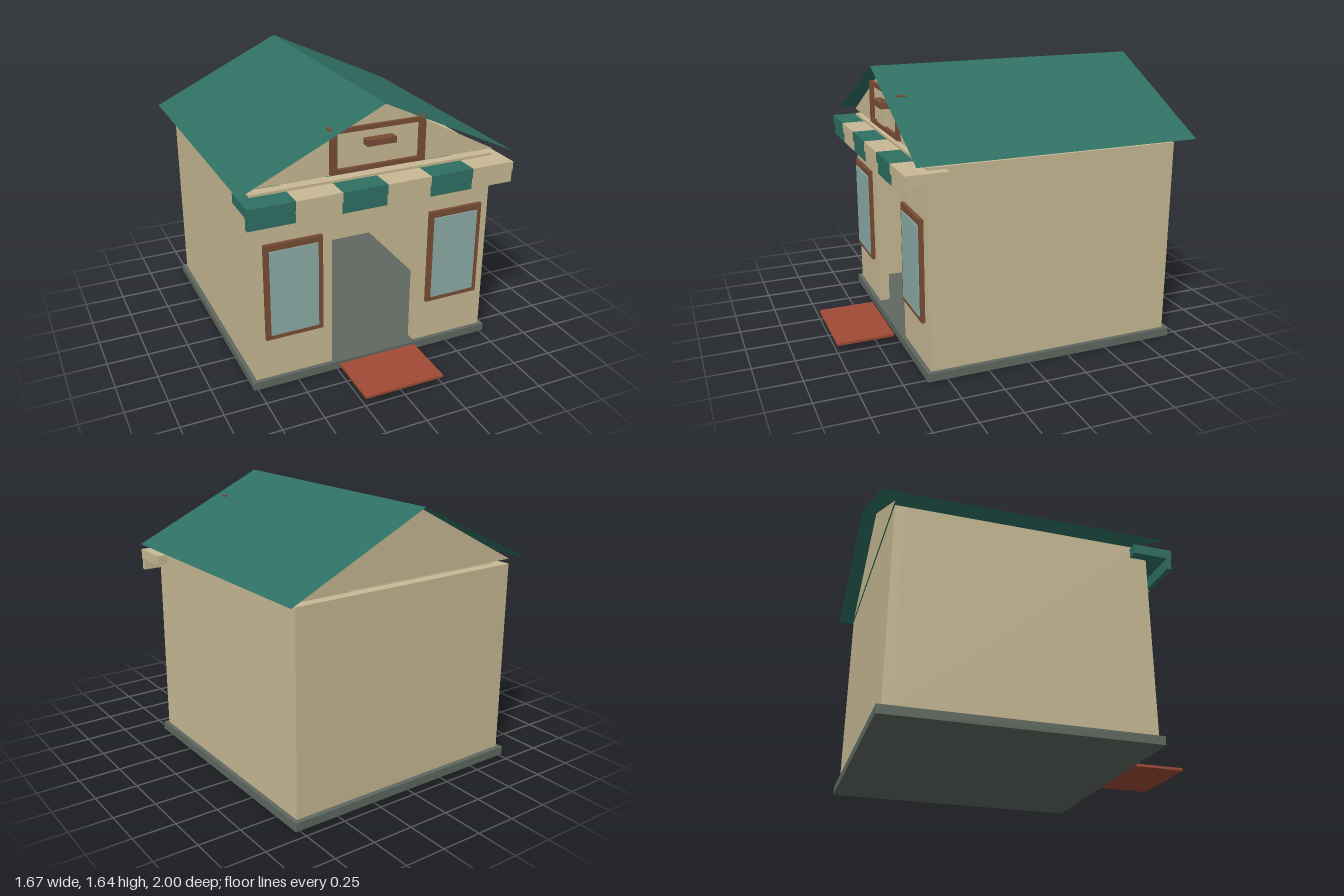
import * as THREE from 'three';

export function createModel() {
  const root = new THREE.Group();
  const mat = (name, color, side = THREE.FrontSide) => {
    const m = new THREE.MeshStandardMaterial({ color, side });
    m.name = name;
    return m;
  };
  const tan = mat('tan plaster', 0xc9ba95, THREE.DoubleSide);
  const green = mat('green', 0x2f7063, THREE.DoubleSide);
  const brown = mat('brown wood', 0x794e35);
  const glass = mat('pale glass', 0x8eaea8);
  const stone = mat('grey stone', 0x606860);
  const red = mat('red mat', 0xa04a34);

  const add = (name, geometry, material, parent = root) => {
    const mesh = new THREE.Mesh(geometry, material);
    mesh.name = name;
    parent.add(mesh);
    return mesh;
  };
  // Box given by its minimum and maximum on each axis
  const box = (name, [x0, x1], [y0, y1], [z0, z1], material, parent) => {
    const g = new THREE.BoxGeometry(x1 - x0, y1 - y0, z1 - z0);
    g.translate((x0 + x1) / 2, (y0 + y1) / 2, (z0 + z1) / 2);
    return add(name, g, material, parent);
  };
  const group = (name) => {
    const g = new THREE.Group();
    g.name = name;
    root.add(g);
    return g;
  };

  // Foundation and door mat
  box('foundation', [-0.775, 0.775], [0, 0.05], [-0.94, 0.615], stone);
  box('doorMat', [-0.25, 0.25], [0.046, 0.062], [0.653, 1], red);

  // Hollow walls with an open doorway
  const T = 0.06, H = [0.05, 1.22];
  const walls = group('walls');
  box('backWall', [-0.75, 0.75], H, [-0.91, -0.91 + T], tan, walls);
  box('lintel', [-0.275, 0.275], [1.09, 1.22], [0.59 - T, 0.59], tan, walls);
  for (const s of [-1, 1]) {
    const span = (a, b) => (s > 0 ? [a, b] : [-b, -a]);
    box('sideWall', span(0.75 - T, 0.75), H, [-0.91 + T, 0.59 - T], tan, walls);
    box('frontWall', span(0.275, 0.75), H, [0.59 - T, 0.59], tan, walls);
    // Front windows
    box('windowFrame', span(0.34, 0.69), [0.32, 0.92], [0.597, 0.618], brown);
    box('windowPane', span(0.37, 0.66), [0.35, 0.88], [0.617, 0.625], glass);
  }

  // Triangular gables
  const triangle = new THREE.Shape([
    new THREE.Vector2(-0.75, 1.25),
    new THREE.Vector2(0.75, 1.25),
    new THREE.Vector2(0, 1.645),
  ]);
  for (const z of [0.59, -0.91]) {
    const gable = add(z > 0 ? 'frontGable' : 'backGable', new THREE.ShapeGeometry(triangle), tan);
    gable.position.z = z;
    if (z < 0) gable.rotation.y = Math.PI;
  }

  // Thin sloping roof sheets
  const run = 0.835, rise = 0.395;
  for (const s of [-1, 1]) {
    const g = new THREE.PlaneGeometry(Math.hypot(run, rise), 1.675);
    g.rotateX(-Math.PI / 2);
    g.rotateZ(-s * Math.atan2(rise, run));
    g.translate(s * run / 2, 1.25 + rise / 2, -0.1625);
    add('roofSlope', g, green);
  }

  // Gable sign: open frame with a small raised emblem block
  const rect = (Type, x, y0, y1) => new Type([
    new THREE.Vector2(-x, y0), new THREE.Vector2(x, y0),
    new THREE.Vector2(x, y1), new THREE.Vector2(-x, y1),
  ]);
  const ring = rect(THREE.Shape, 0.29, 1.258, 1.516);
  ring.holes.push(rect(THREE.Path, 0.25, 1.285, 1.49));
  const frame = new THREE.ExtrudeGeometry(ring, { depth: 0.06, bevelEnabled: false });
  frame.translate(0, 0, 0.55);
  const sign = group('gableSign');
  add('signFrame', frame, brown, sign);
  box('signBlock', [-0.07, 0.07], [1.3, 1.405], [0.59, 0.625], tan, sign);
  box('signCap', [-0.088, 0.088], [1.405, 1.441], [0.59, 0.645], brown, sign);

  // Striped awning: flat shelf with a hanging valance
  const awning = group('awning');
  for (let i = 0; i < 6; i++) {
    const x = [-0.81 + i * 0.27, -0.54 + i * 0.27];
    const m = i % 2 ? tan : green;
    box('awningShelf', x, [1.147, 1.205], [0.49, 0.73], m, awning);
    box('awningValance', x, [1.078, 1.147], [0.695, 0.722], m, awning);
  }
  return root;
}
